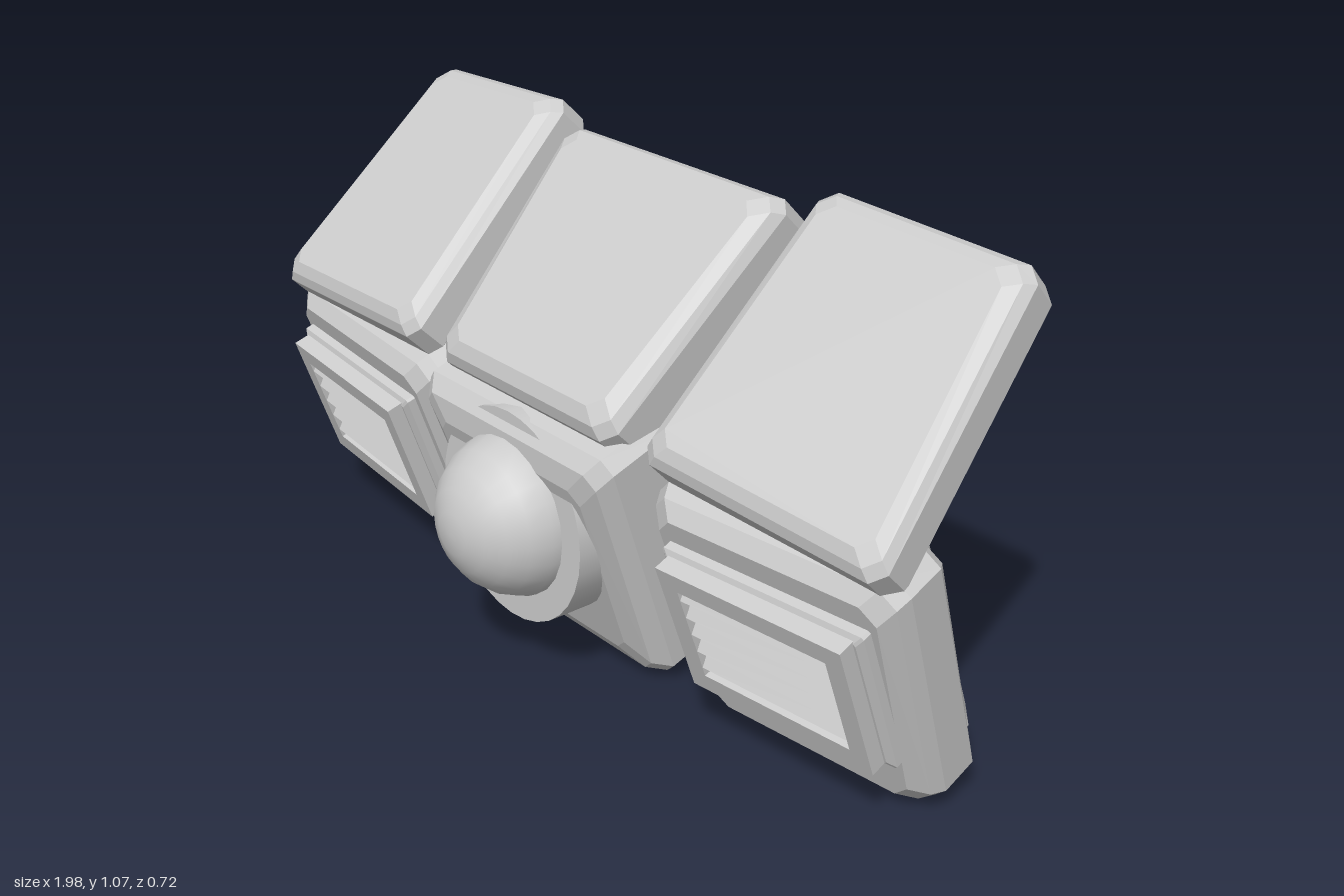
import * as THREE from 'three';

const grey = new THREE.MeshStandardMaterial({ color: 0xcccccc });
grey.name = 'plain grey';
grey.flatShading = true;
const smoothGrey = new THREE.MeshStandardMaterial({ color: 0xcccccc });
smoothGrey.name = 'smooth grey';

function add(parent, name, geometry, material = grey) {
  const mesh = new THREE.Mesh(geometry, material);
  mesh.name = name;
  parent.add(mesh);
  return mesh;
}

// Trapezoid slab with cut corners, lofted through levels of [z, inset].
// bottom and top are [xMin, xMax] at heights y0 and y1.
function slab(bottom, top, y0, y1, levels, cut) {
  const rings = levels.map(([z, d]) => {
    const corners = [
      [bottom[0] + d, y0 + d], [bottom[1] - d, y0 + d],
      [top[1] - d, y1 - d], [top[0] + d, y1 - d],
    ].map(([x, y]) => new THREE.Vector2(x, y));
    const ring = [];
    corners.forEach((c, i) => {
      for (const other of [corners[(i + 3) % 4], corners[(i + 1) % 4]]) {
        const p = c.clone().add(other.clone().sub(c).setLength(cut));
        ring.push([p.x, p.y, z]);
      }
    });
    return ring;
  });
  const pos = [];
  const tri = (a, b, c) => pos.push(...a, ...b, ...c);
  for (let k = 0; k + 1 < rings.length; k++) {
    for (let i = 0; i < 8; i++) {
      const j = (i + 1) % 8, lo = rings[k], hi = rings[k + 1];
      tri(lo[i], lo[j], hi[j]);
      tri(lo[i], hi[j], hi[i]);
    }
  }
  const first = rings[0], last = rings[rings.length - 1];
  for (let i = 1; i < 7; i++) {
    tri(last[0], last[i], last[i + 1]);
    tri(first[0], first[i + 1], first[i]);
  }
  const g = new THREE.BufferGeometry();
  g.setAttribute('position', new THREE.Float32BufferAttribute(pos, 3));
  g.computeVertexNormals();
  return g;
}

// Mirrors an x range for the right-hand side
const range = (side, a, b) => (side > 0 ? [a, b] : [-b, -a]);

function grille(parent) {
  const group = new THREE.Group();
  group.name = 'grille';
  group.position.set(0, 0.3, 0);
  parent.add(group);
  add(group, 'grilleBase', slab([-0.25, 0.25], [-0.25, 0.25], -0.175, 0.17,
    [[-0.06, 0], [-0.01, 0], [0.0, 0.015]], 0.005));
  const frame = new THREE.Shape([[-0.23, -0.16], [0.23, -0.16], [0.23, 0.16], [-0.23, 0.16]]
    .map(p => new THREE.Vector2(...p)));
  frame.holes.push(new THREE.Path([[-0.185, -0.115], [-0.185, 0.115], [0.185, 0.115], [0.185, -0.115]]
    .map(p => new THREE.Vector2(...p))));
  add(group, 'grilleFrame', new THREE.ExtrudeGeometry(frame, { depth: 0.04, bevelEnabled: false }))
    .position.z = -0.005;
  for (let i = 0; i < 5; i++) {
    const slat = add(group, 'grilleSlat', new THREE.BoxGeometry(0.37, 0.032, 0.032));
    slat.position.set(0, -0.092 + i * 0.046, 0.012);
    slat.rotation.x = Math.PI / 4;
  }
}

export function createModel() {
  const model = new THREE.Group();
  model.name = 'model';

  // Lower body leans forward at the top, upper body leans back
  const lower = new THREE.Group();
  lower.name = 'lowerBody';
  lower.rotation.x = THREE.MathUtils.degToRad(20);
  const upper = new THREE.Group();
  upper.name = 'upperBody';
  upper.rotation.x = THREE.MathUtils.degToRad(-45);
  model.add(lower, upper);

  // Back plates
  add(lower, 'lowerBackPlate', slab([-0.9, 0.9], [-0.9, 0.9], -0.015, 0.535,
    [[-0.275, 0.025], [-0.25, 0], [-0.17, 0], [-0.15, 0.02]], 0.035));
  add(lower, 'backBox', slab([-0.38, 0.38], [-0.38, 0.38], -0.015, 0.54,
    [[-0.318, 0.03], [-0.29, 0], [-0.2, 0]], 0.02));
  add(upper, 'upperBackPlate', slab([-0.86, 0.86], [-0.75, 0.75], 0.36, 0.88,
    [[0.355, 0.045], [0.375, 0.012], [0.41, 0], [0.45, 0.01]], 0.05));

  // Centre blocks
  add(lower, 'lowerCentreBlock', slab([-0.29, 0.29], [-0.315, 0.315], 0, 0.605,
    [[-0.2, 0.02], [-0.17, 0], [-0.01, 0], [0.025, 0.025], [0.043, 0.075]], 0.03));
  add(upper, 'upperCentreBlock', slab([-0.29, 0.29], [-0.345, 0.345], 0.295, 0.895,
    [[0.42, 0.03], [0.46, 0], [0.55, 0], [0.575, 0.015], [0.592, 0.045]], 0.03));

  // Side blocks, angled slightly back towards the outside
  for (const side of [1, -1]) {
    const low = new THREE.Group();
    low.name = side > 0 ? 'lowerLeftSide' : 'lowerRightSide';
    low.position.x = side * 0.69;
    low.rotation.y = side * THREE.MathUtils.degToRad(4.5);
    lower.add(low);
    add(low, 'lowerSideBlock', slab(range(side, -0.31, 0.275), range(side, -0.31, 0.31), -0.035, 0.562,
      [[-0.21, 0.03], [-0.175, 0], [-0.09, 0], [-0.06, 0.012], [-0.03, 0.04]], 0.035));
    grille(low);

    const up = new THREE.Group();
    up.name = side > 0 ? 'upperLeftSide' : 'upperRightSide';
    up.position.set(side * 0.69, 0, 0.51);
    up.rotation.y = side * THREE.MathUtils.degToRad(4.5);
    upper.add(up);
    add(up, 'upperSideBlock', slab(range(side, -0.31, 0.295), range(side, -0.29, 0.225), 0.3, 0.942,
      [[-0.08, 0.04], [-0.05, 0], [0.025, 0], [0.045, 0.015], [0.06, 0.04]], 0.03));

    // Round feet on the back
    for (const [y, z] of [[0.49, -0.12], [0.21, -0.22]]) {
      const foot = add(model, 'foot', new THREE.CylinderGeometry(0.055, 0.055, 0.1, 20), smoothGrey);
      foot.rotation.x = Math.PI / 2;
      foot.position.set(side * 0.77, y, z + 0.05);
    }
  }

  // Round lens with its drum
  const drum = add(model, 'lensDrum', new THREE.CylinderGeometry(0.237, 0.237, 0.35, 32), smoothGrey);
  drum.rotation.x = Math.PI / 2;
  drum.position.set(0, 0.343, 0.035);
  const lens = add(model, 'lens', new THREE.SphereGeometry(0.182, 24, 12), smoothGrey);
  lens.rotation.x = Math.PI / 2;
  lens.position.set(0, 0.345, 0.182);

  return model;
}
